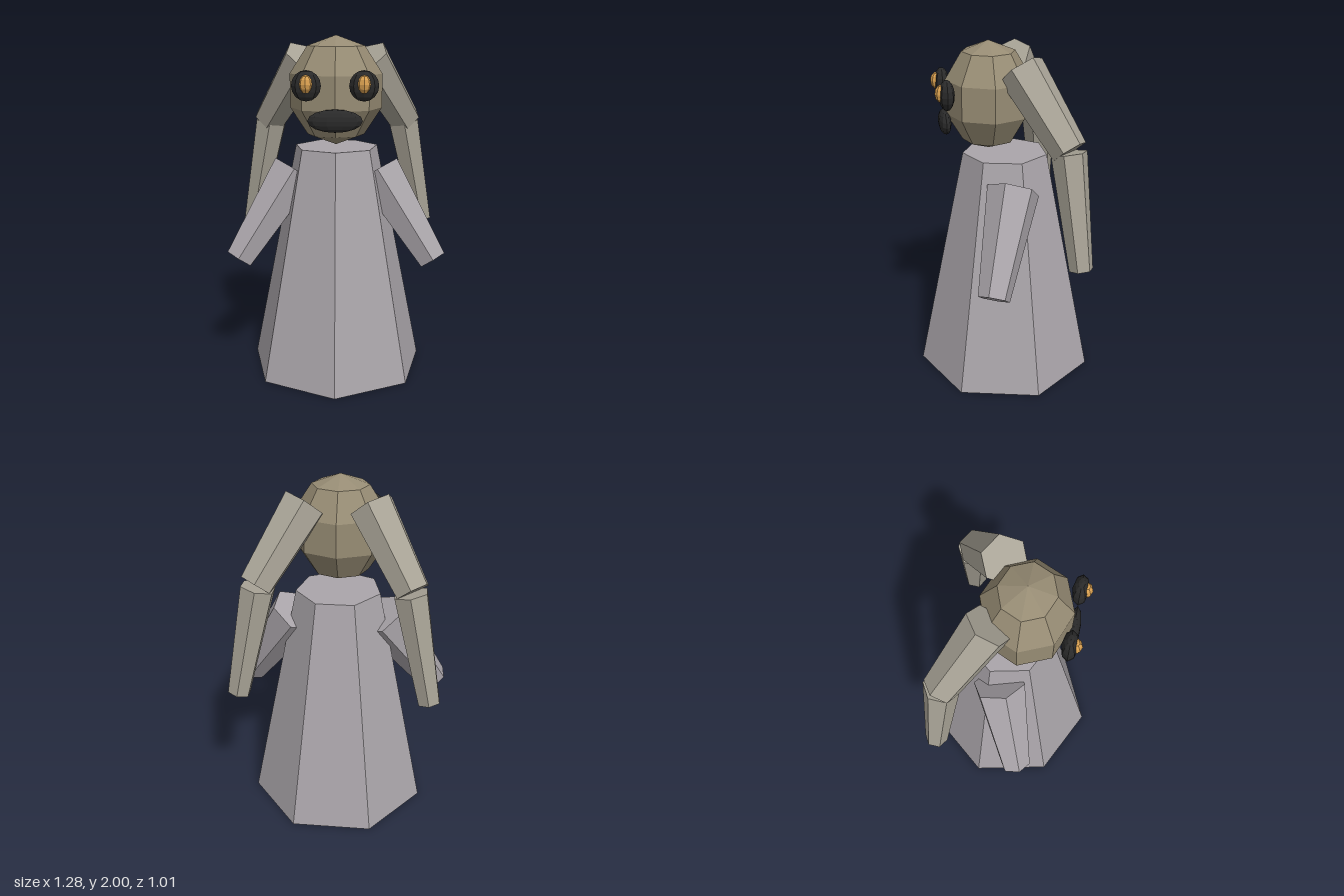
import * as THREE from 'three';

const mat = (color) => new THREE.MeshStandardMaterial({ color, flatShading: true });

export function createModel() {
  const model = new THREE.Group();
  model.name = 'robedFigure';
  const robe = mat(0xaaa5aa);
  const skin = mat(0x978c74);
  const limb = mat(0xa8a396);
  const black = mat(0x2a2a2a);
  const amber = mat(0xd9a050);

  const add = (name, geometry, material, position) => {
    const mesh = new THREE.Mesh(geometry, material);
    mesh.name = name;
    mesh.position.set(...position);
    model.add(mesh);
    return mesh;
  };

  // Faceted ellipsoid with given half sizes
  const ellipsoid = (name, material, position, size, segments, rings) =>
    add(name, new THREE.SphereGeometry(1, segments, rings).scale(...size), material, position);

  // Tapered six-sided segment running from one point to another
  const segment = (name, material, from, to, rFrom, rTo) => {
    const a = new THREE.Vector3(...from);
    const b = new THREE.Vector3(...to);
    const axis = a.clone().sub(b);
    const mid = a.clone().add(b).multiplyScalar(0.5);
    const mesh = add(name, new THREE.CylinderGeometry(rFrom, rTo, axis.length(), 6), material, mid.toArray());
    mesh.quaternion.setFromUnitVectors(new THREE.Vector3(0, 1, 0), axis.normalize());
  };

  // Seven-sided robe, with one corner facing forward
  add('robe', new THREE.CylinderGeometry(0.247, 0.53, 1.36, 7), robe, [0, 0.68, -0.025]);

  // Head and mouth
  ellipsoid('head', skin, [0, 1.693, 0.07], [0.275, 0.307, 0.255], 8, 5);
  ellipsoid('mouth', black, [0, 1.552, 0.32], [0.15, 0.063, 0.036], 10, 8);

  for (const [side, s] of [['left', 1], ['right', -1]]) {
    // Eye with a bulging iris
    ellipsoid(side + 'Eye', black, [s * 0.155, 1.74, 0.318], [0.08, 0.083, 0.044], 8, 8);
    ellipsoid(side + 'Iris', amber, [s * 0.155, 1.75, 0.345], [0.038, 0.05, 0.037], 8, 6);

    // Sleeve reaching out and forward
    segment(side + 'Sleeve', robe, [s * 0.25, 1.21, -0.03], [s * 0.57, 0.71, 0.13], 0.15, 0.09);

    // Two-part tendril hanging behind the head
    segment(side + 'UpperTendril', limb, [s * 0.18, 1.87, -0.08], [s * 0.42, 1.48, -0.3], 0.13, 0.1);
    segment(side + 'LowerTendril', limb, [s * 0.41, 1.47, -0.3], [s * 0.54, 0.835, -0.358], 0.1, 0.067);
  }
  return model;
}
